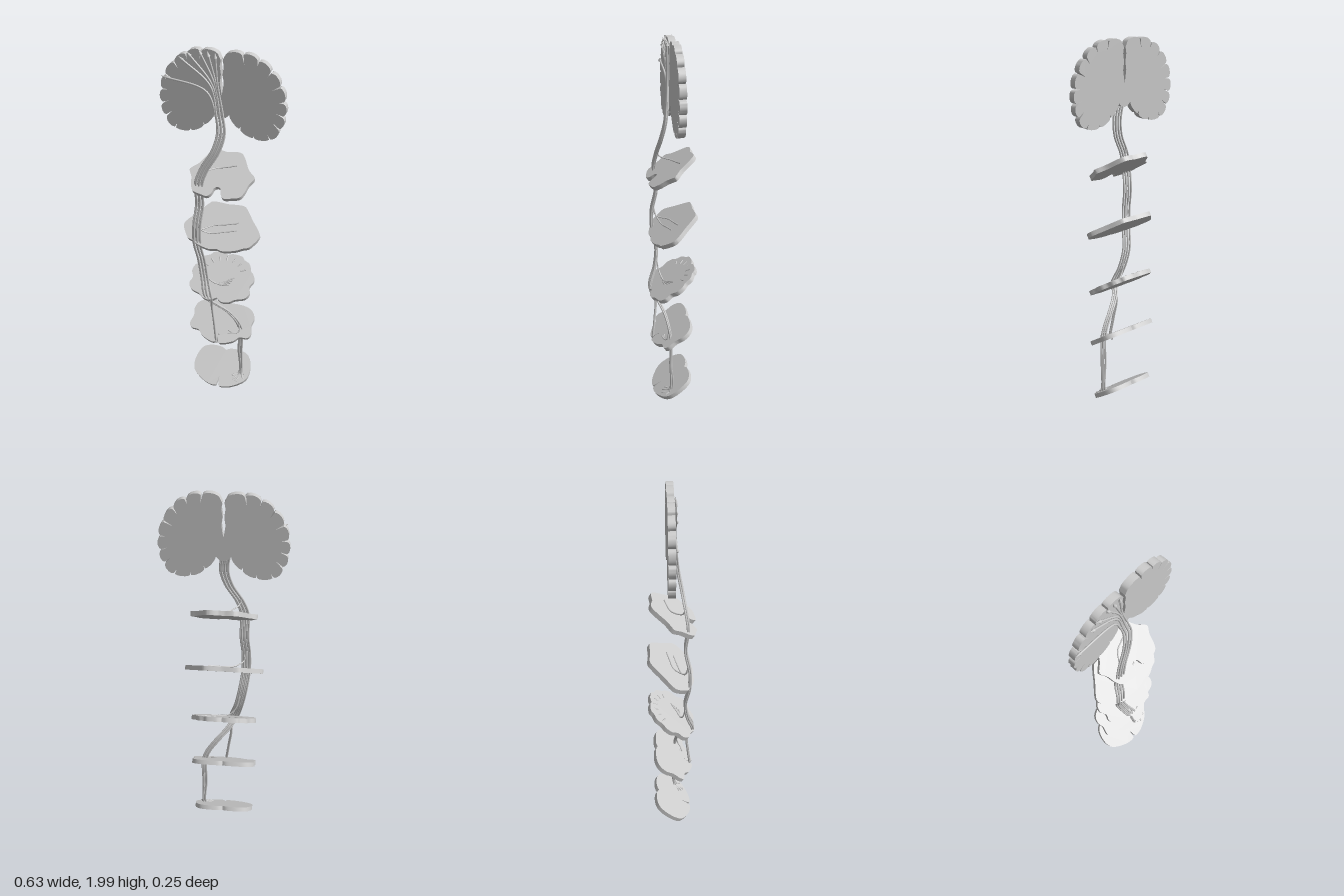
import * as THREE from 'three';
import { toCreasedNormals } from 'three/addons/utils/BufferGeometryUtils.js';

const TILT = THREE.MathUtils.degToRad(33);
const SLOPE = Math.tan(TILT);
const THICK = 0.024;
const V2 = (x, y) => new THREE.Vector2(x, y);
const V3 = (p) => new THREE.Vector3(...p);

export function createModel() {
  const root = new THREE.Group();
  const material = new THREE.MeshStandardMaterial({ color: 0xcccccc });

  function add(name, geometry, parent = root) {
    const mesh = new THREE.Mesh(geometry, material);
    mesh.name = name;
    parent.add(mesh);
    return mesh;
  }
  function group(name) {
    const g = new THREE.Group();
    g.name = name;
    root.add(g);
    return g;
  }
  function tube(name, points, radius, parent) {
    const curve = new THREE.CatmullRomCurve3(points.map(V3), false, 'centripetal');
    return add(name, new THREE.TubeGeometry(curve, points.length * 7, radius, 7), parent);
  }
  // Joins a right-hand half outline with its mirror image
  const mirrored = (half) => half.concat(
    half.slice(1, -1).reverse().map((p) => V2(-p.x, p.y)));

  // Brain section: lobes bulging between narrow slits, with a wavy midline fissure
  const slits = [[0.012, 1.972], [0.1, 1.985], [0.175, 1.962], [0.235, 1.915], [0.28, 1.85], [0.3, 1.775],
    [0.3, 1.705], [0.283, 1.64], [0.24, 1.582], [0.16, 1.578], [0.09, 1.615], [0.035, 1.685]]
    .map((p) => V2(...p));
  const centre = V2(0.14, 1.77);
  const half = [V2(0, 1.78), V2(0.004, 1.8), V2(0.01, 1.84), V2(0.004, 1.88), V2(0.01, 1.92), V2(0.005, 1.95)];
  for (let i = 0; i < slits.length - 1; i++) {
    const a = slits[i], b = slits[i + 1];
    const along = b.clone().sub(a).normalize();
    const out = V2(-along.y, along.x);
    const p0 = a.clone().addScaledVector(along, 0.004);
    const p3 = b.clone().addScaledVector(along, -0.004);
    const bulge = i > 7 ? 0.012 : 0.02;
    const p1 = p0.clone().lerp(p3, 0.12).addScaledVector(out, bulge);
    const p2 = p0.clone().lerp(p3, 0.88).addScaledVector(out, bulge);
    half.push(...new THREE.CubicBezierCurve(p0, p1, p2, p3).getPoints(8));
    if (i < slits.length - 2) {
      const depth = [0.045, 0.025, 0.035][i % 3] * (i > 7 ? 0.4 : 1);
      half.push(b.clone().addScaledVector(centre.clone().sub(b).normalize(), depth));
    }
  }
  half.push(V2(0.02, 1.665), V2(0, 1.66));
  const brain = new THREE.ExtrudeGeometry(new THREE.Shape(mirrored(half)),
    { depth: 0.035, bevelEnabled: false });
  brain.translate(0, 0, -0.022);
  add('brainSection', toCreasedNormals(brain, 0.6));

  // Tilted cross-sections: half outlines as (x, z) pairs from back to front
  const slices = [
    ['upperMidbrainSlice', 1.355, [[0, -0.1], [0.05, -0.107], [0.078, -0.1], [0.1, -0.075], [0.13, -0.03],
      [0.165, -0.002], [0.168, 0.012], [0.15, 0.04], [0.138, 0.08], [0.12, 0.105], [0.08, 0.115], [0.045, 0.12],
      [0.026, 0.105], [0.016, 0.078], [0, 0.07]]],
    ['lowerMidbrainSlice', 1.033, [[0, -0.115], [0.08, -0.118], [0.11, -0.1], [0.15, -0.055], [0.198, -0.005],
      [0.205, 0.02], [0.188, 0.05], [0.165, 0.075], [0.14, 0.083], [0.1, 0.1], [0.04, 0.112], [0, 0.106]]],
    ['ponsSlice', 0.715, [[0, -0.112], [0.03, -0.12], [0.08, -0.115], [0.097, -0.1], [0.13, -0.085],
      [0.145, -0.055], [0.167, -0.035], [0.175, -0.005], [0.16, 0.025], [0.17, 0.055], [0.15, 0.083],
      [0.1, 0.098], [0.07, 0.115], [0.03, 0.118], [0, 0.102]]],
    ['medullaSlice', 0.415, [[0, -0.082], [0.03, -0.092], [0.11, -0.09], [0.158, -0.07], [0.175, -0.035],
      [0.168, 0], [0.178, 0.04], [0.163, 0.062], [0.12, 0.066], [0.09, 0.09], [0.04, 0.108], [0.012, 0.108],
      [0, 0.08]]],
    ['spinalCordSlice', 0.082, [[0, -0.078], [0.03, -0.09], [0.09, -0.09], [0.14, -0.07], [0.165, -0.015],
      [0.16, 0.04], [0.12, 0.075], [0.06, 0.1], [0.014, 0.104], [0.005, 0.09], [0, 0.055]]],
  ];
  for (const [name, y, profile] of slices) {
    const pts = profile.map(([x, z]) => V2(x, -z / Math.cos(TILT)));
    const curve = new THREE.SplineCurve(pts).getPoints(pts.length * 4);
    const geo = new THREE.ExtrudeGeometry(new THREE.Shape(mirrored(curve)),
      { depth: THICK, bevelEnabled: false });
    geo.translate(0, 0, -THICK / 2);
    geo.rotateX(TILT - Math.PI / 2);
    geo.translate(0, y, 0);
    add(name, toCreasedNormals(geo, 0.6));
  }
  // Point resting on the top face of a slice
  const onSlice = (i, x, z, lift = 0.003) =>
    [x, slices[i][1] + THICK / 2 / Math.cos(TILT) - z * SLOPE + lift, z];

  // Short folds along the back rim of the pons slice
  const folds = group('ponsFolds');
  for (let i = 0; i < 7; i++) {
    const a = (i - 3) * 0.36;
    const at = (r) => onSlice(2, Math.sin(a) * r * 1.35, -Math.cos(a) * r, 0);
    tube('fold', [at(0.075), at(0.087), at(0.098)], 0.004, folds);
  }

  // Nerve fibres: a fan over the brain gathering into one descending bundle
  const fibres = group('descendingFibres');
  const fanEnds = [[-0.29, 1.84], [-0.2, 1.94], [-0.16, 1.965], [-0.105, 1.98], [-0.065, 1.975], [-0.03, 1.97]];
  const trunk = [[-0.01, 1.68, 0.022], [0.002, 1.59, 0.032], [-0.02, 1.5, 0.05], [-0.075, 1.4, 0.07],
    [-0.1, 1.32, 0.08], [-0.1, 1.2, 0.068], [-0.11, 1.08, 0.09], [-0.11, 0.97, 0.09], [-0.095, 0.86, 0.07],
    [-0.075, 0.76, 0.082], [-0.045, 0.65, 0.113]];
  const crossing = [[-0.01, 0.595, 0.08], [0.05, 0.53, 0.045], [0.1, 0.46, 0.028], [0.12, 0.4, 0.022],
    [0.12, 0.25, 0.022], [0.125, 0.08, 0.025]];
  const uncrossed = [[-0.045, 0.58, 0.085], [-0.03, 0.47, 0.092], [-0.015, 0.36, 0.105]];
  const cordEnds = [[0.07, 0.05], [0.08, 0.065], [0.1, 0.075], [0.14, 0.055]];
  fanEnds.forEach(([ex, ey], i) => {
    const dx = (i - 2.5) * 0.0085, dz = i % 2 ? 0.005 : -0.003;
    const shift = (k) => ([x, y, z]) => [x + dx * k, y, z + dz * k];
    const bend = [ex * 0.22 - 0.012, 1.79 + (ey - 1.84) * 0.3, 0.018];
    const path = [[ex, ey, 0.018], bend, ...trunk.map(shift(1))];
    if (i < 4) path.push(...crossing.map(shift(0.9)), onSlice(4, ...cordEnds[i]));
    else path.push(...uncrossed.map(shift(0.6)));
    tube('fibre', path, 0.0048, fibres);
    // Cell body at the cortical end
    const cell = add('cellBody', new THREE.ConeGeometry(0.009, 0.026, 8), fibres);
    cell.position.set(ex, ey, 0.018);
    cell.rotation.z = Math.atan2(-(ex - bend[0]), ey - bend[1]);
  });

  // Side branches running over the slices
  const branches = group('sideBranches');
  tube('upperMidbrainBranch', [[-0.085, 1.43, 0.066], [-0.075, 1.392, 0.055], onSlice(0, -0.03, 0.0, 0.012),
    onSlice(0, 0.02, -0.02), onSlice(0, 0.065, -0.033)], 0.0035, branches);
  for (const z of [-0.022, 0.015])
    tube('lowerMidbrainBranch', [[-0.11, 1.11, 0.085], [-0.1, 1.05, 0.07], onSlice(1, -0.05, z + 0.035, 0.008),
      onSlice(1, 0.02, z + 0.015), onSlice(1, 0.08, z)], 0.0035, branches);
  for (let i = 0; i < 4; i++)
    tube('ponsBranch', [[-0.08, 0.82, 0.074], [-0.058, 0.74, 0.062], onSlice(2, -0.02, 0.048, 0.008),
      onSlice(2, 0.01, 0.036 + i * 0.004), onSlice(2, 0.068 - i * 0.006, 0.002 + i * 0.014)], 0.0035, branches);
  for (let i = 0; i < 2; i++)
    tube('medullaBranch', [[0.105, 0.455, 0.03], onSlice(3, 0.11, 0.045), onSlice(3, 0.085, 0.058),
      onSlice(3, 0.05, 0.05 + i * 0.014)], 0.0035, branches);
  tube('cordBranch', [[0.12, 0.12, 0.022], onSlice(4, 0.125, 0.035), onSlice(4, 0.14, 0.03)], 0.0035, branches);
  tube('midlineBranch', [[-0.015, 0.36, 0.105], onSlice(4, -0.005, 0.09, 0.29),
    onSlice(3, 0.005, 0.075)], 0.0035, branches);

  return root;
}
